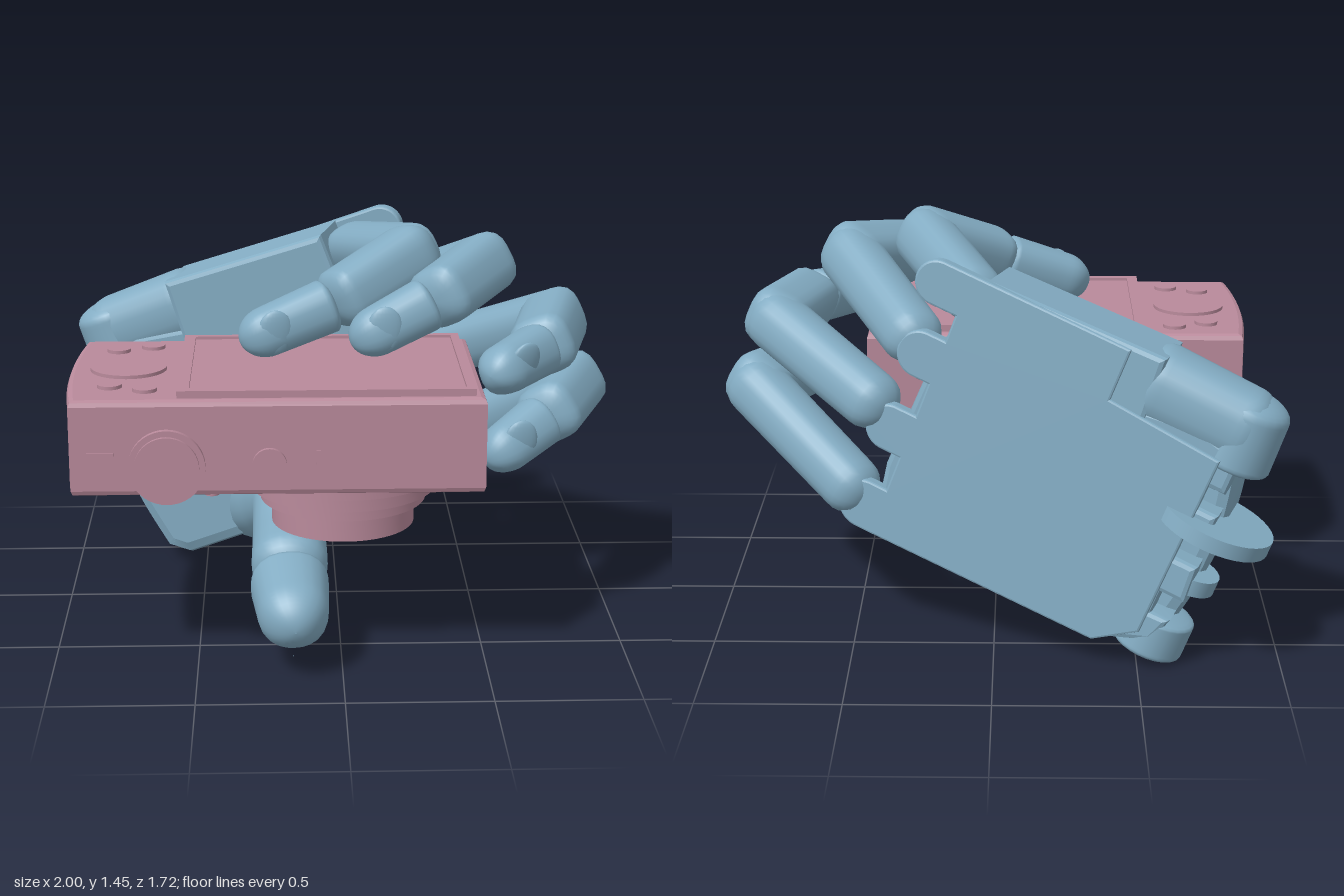
import * as THREE from 'three';
import { RoundedBoxGeometry } from 'three/addons/geometries/RoundedBoxGeometry.js';
import { toCreasedNormals } from 'three/addons/utils/BufferGeometryUtils.js';

const V = (x, y, z) => new THREE.Vector3(x, y, z);
const points2 = list => list.map(p => new THREE.Vector2(...p));
const blue = new THREE.MeshStandardMaterial({ color: 0x84adc4, side: THREE.DoubleSide });
const pink = new THREE.MeshStandardMaterial({ color: 0xb98a9b });

function add(parent, name, geometry, material, x = 0, y = 0, z = 0) {
  const m = new THREE.Mesh(geometry, material);
  m.name = name;
  m.position.set(x, y, z);
  parent.add(m);
  return m;
}

// Superellipse section swept along a curve; the ends are rounded over lengths e0 and e1
function loft(curve, radii, side, e0, e1, power = 2.6, rings = 28, n = 24) {
  const pos = [], idx = [], len = curve.getLength();
  for (let i = 0; i <= rings; i++) {
    const t = (1 - Math.cos(Math.PI * i / rings)) / 2;
    const p = curve.getPointAt(t), T = curve.getTangentAt(t);
    const s = side.clone().addScaledVector(T, -side.dot(T)).normalize();
    const up = T.clone().cross(s);
    const f = t * (radii.length - 1), k = Math.min(Math.floor(f), radii.length - 2);
    let r = THREE.MathUtils.lerp(radii[k], radii[k + 1], f - k);
    for (const [dist, e] of [[t * len, e0], [(1 - t) * len, e1]])
      if (dist < e) r *= Math.sqrt(Math.max(1e-4, 1 - (1 - dist / e) ** 2));
    for (let j = 0; j < n; j++) {
      const a = j / n * Math.PI * 2, c = Math.cos(a), q = Math.sin(a);
      const g = r / (Math.abs(c) ** power + Math.abs(q) ** power) ** (1 / power);
      const v = p.clone().addScaledVector(s, c * g).addScaledVector(up, q * g);
      pos.push(v.x, v.y, v.z);
      if (i < rings) {
        const A = i * n + j, B = i * n + (j + 1) % n;
        idx.push(A, B, A + n, B, B + n, A + n);
      }
    }
  }
  const geo = new THREE.BufferGeometry();
  geo.setAttribute('position', new THREE.Float32BufferAttribute(pos, 3));
  geo.setIndex(idx);
  geo.computeVertexNormals();
  return geo;
}

// Straight phalanx from a to b, pushed out by x0 and x1 past its joints
function phalanx(a, b, ra, rb, side, x0, x1, e0, e1, power) {
  const d = b.clone().sub(a).normalize();
  const line = new THREE.LineCurve3(a.clone().addScaledVector(d, -x0), b.clone().addScaledVector(d, x1));
  return loft(line, [ra, rb], side, e0, e1, power);
}

// Thin nail lying on the outer face of a fingertip
function nail(parent, tip, dir, side, lift) {
  const up = dir.clone().cross(side).normalize();
  const m = add(parent, 'nail', new THREE.SphereGeometry(1, 20, 12), blue);
  m.quaternion.setFromRotationMatrix(new THREE.Matrix4().makeBasis(side, dir, up));
  m.scale.set(0.062, 0.08, 0.02);
  m.position.copy(tip).addScaledVector(dir, -0.045).addScaledVector(up, lift);
}

function finger(name, knuckle, pip, dip, tip) {
  const g = new THREE.Group();
  g.name = name;
  const side = pip.clone().sub(knuckle).cross(dip.clone().sub(pip)).normalize();
  add(g, 'proximalPhalanx', phalanx(knuckle, pip, 0.1, 0.108, side, 0.08, 0.09, 0.1, 0.1), blue);
  add(g, 'middlePhalanx', phalanx(pip, dip, 0.112, 0.106, side, 0.09, 0.04, 0.1, 0.06, 3.2), blue);
  add(g, 'distalPhalanx', phalanx(dip, tip, 0.095, 0.083, side, -0.02, 0.07, 0.03, 0.1), blue);
  nail(g, tip, tip.clone().sub(dip).normalize(), side, 0.069);
  return g;
}

function extrude(shape, depth, bevel) {
  return toCreasedNormals(new THREE.ExtrudeGeometry(shape, {
    depth: depth - 2 * bevel, bevelThickness: bevel, bevelSize: bevel, bevelOffset: -bevel, bevelSegments: 2, curveSegments: 16,
  }).translate(0, 0, bevel), 0.35);
}
const polygon = list => new THREE.Shape(points2(list));

function createPalm() {
  // Local axes: x toward the fingers, y across the knuckles, z out of the palm
  const palm = new THREE.Group();
  palm.name = 'palm';
  const d = V(0.894, 0.36, 0.27).normalize();
  const w = V(-0.36, 0.93, -0.06);
  w.addScaledVector(d, -w.dot(d)).normalize();
  palm.quaternion.setFromRotationMatrix(new THREE.Matrix4().makeBasis(d, w, d.clone().cross(w)));

  // Palm body with hinge notches along the wrist
  add(palm, 'palmBody', extrude(polygon([
    [-0.45, 0.26], [0.42, 0.25], [0.46, 0.5], [0.44, 1.0], [-0.5, 1.12], [-0.66, 1.08],
    [-0.66, 0.94], [-0.58, 0.94], [-0.58, 0.86], [-0.67, 0.86], [-0.67, 0.74], [-0.58, 0.74],
    [-0.58, 0.66], [-0.68, 0.66], [-0.69, 0.52], [-0.6, 0.52], [-0.6, 0.44], [-0.67, 0.44], [-0.64, 0.34],
  ]), 0.26, 0.02), blue, 0, 0, -0.55);
  add(palm, 'sideBeam', extrude(polygon([[-0.32, 0.98], [0.36, 0.98], [0.36, 1.27], [-0.3, 1.29]]), 0.28, 0.02), blue, 0, 0, -0.56);

  // Back plate with one rounded lobe behind each knuckle
  const lobes = [[0.33, 0.09, 0.57], [0.635, 0.085, 0.58], [0.93, 0.085, 0.57], [1.19, 0.08, 0.6]];
  const plate = polygon([[-0.59, 0.36], [-0.45, 0.255], [0.42, 0.24]]);
  plate.currentPoint.set(0.42, 0.24);
  for (const [v, r, u] of lobes) {
    plate.lineTo(0.42, v - r);
    plate.absarc(u - r, v, r, -Math.PI / 2, Math.PI / 2, false);
    plate.lineTo(0.42, v + r);
  }
  plate.lineTo(-0.18, 1.27);
  plate.lineTo(-0.18, 1.08);
  plate.lineTo(-0.6, 1.05);
  add(palm, 'backPlate', extrude(plate, 0.05, 0.008), blue, 0, 0, -0.568);

  // Heel of the thumb: rounded block in front of the wrist
  const heel = new THREE.Shape();
  heel.moveTo(-0.66, 0.31);
  heel.lineTo(-0.58, 0.255);
  heel.lineTo(-0.2, 0.27);
  heel.splineThru(points2([[-0.1, 0.42], [-0.12, 0.62], [-0.25, 0.8], [-0.4, 1.0]]));
  heel.lineTo(-0.66, 1.02);
  heel.splineThru(points2([[-0.7, 0.8], [-0.7, 0.55], [-0.66, 0.31]]));
  add(palm, 'thumbHeel', extrude(heel, 0.3, 0.05), blue, 0, 0, -0.45);

  // Wrist hinge: centre disc, rounded upper lug with its arm, lower lugs
  const alongWrist = (u, v0, v1) => new THREE.LineCurve3(V(u, v0, -0.42), V(u, v1, -0.42));
  add(palm, 'wristDisc', new THREE.CylinderGeometry(0.205, 0.205, 0.055, 40), blue, -0.665, 0.8, -0.445);
  add(palm, 'upperLug', loft(alongWrist(-0.62, 1.0, 1.28), [0.14, 0.13], V(1, 0, 0), 0.03, 0.06, 2), blue);
  add(palm, 'lugArm', loft(new THREE.LineCurve3(V(-0.72, 1.155, -0.425), V(-0.2, 1.165, -0.425)), [0.13, 0.14], V(0, 1, 0), 0.1, 0.1, 2.8), blue);
  add(palm, 'lowerLug', loft(alongWrist(-0.62, 0.25, 0.42), [0.13, 0.13], V(1, 0, 0), 0.03, 0.02, 2), blue);
  add(palm, 'middleLug', new THREE.CylinderGeometry(0.11, 0.11, 0.06, 32), blue, -0.65, 0.58, -0.43);
  return palm;
}

function createThumb() {
  const g = new THREE.Group();
  g.name = 'thumb';
  const path = new THREE.CatmullRomCurve3([
    V(-0.29, 0.22, -0.5), V(-0.245, 0.29, -0.24), V(-0.195, 0.37, 0.03), V(-0.18, 0.315, 0.3), V(-0.18, 0.275, 0.56),
  ]);
  add(g, 'thumbBase', loft(path, [0.17, 0.16, 0.135, 0.12, 0.128, 0.135, 0.135], V(1, 0, 0), 0.1, 0.1, 2.3, 40), blue);
  const a = V(-0.18, 0.25, 0.56), b = V(-0.165, 0.205, 0.81);
  add(g, 'thumbTip', phalanx(a, b, 0.14, 0.112, V(1, 0, 0), 0.03, 0.05, 0.03, 0.13, 2.3), blue);
  nail(g, b, b.clone().sub(a).normalize(), V(-1, 0, 0), 0.098);
  return g;
}

function createCamera() {
  const g = new THREE.Group();
  g.name = 'compactCamera';
  // Body with a bowed grip end
  const s = new THREE.Shape();
  s.moveTo(-0.905, 0.02);
  s.lineTo(0.475, 0.02);
  s.lineTo(0.475, 0.81);
  s.lineTo(-0.905, 0.81);
  s.quadraticCurveTo(-0.96, 0.415, -0.905, 0.02);
  add(g, 'cameraBody', extrude(s, 0.33, 0.02).rotateX(Math.PI / 2), pink, 0, 1.0, 0);

  // Raised screen with a rim
  const frame = (x0, x1, z0, z1) => [[x0, z0], [x1, z0], [x1, z1], [x0, z1]];
  add(g, 'screenPanel', extrude(polygon(frame(-0.55, 0.44, 0.05, 0.78)), 0.05, 0.01).rotateX(Math.PI / 2), pink, 0, 1.015, 0);
  const rim = polygon(frame(-0.55, 0.44, 0.05, 0.78));
  rim.holes.push(new THREE.Path(points2(frame(-0.51, 0.41, 0.075, 0.75))));
  add(g, 'screenRim', new THREE.ExtrudeGeometry(rim, { depth: 0.03, bevelEnabled: false }).rotateX(Math.PI / 2), pink, 0, 1.025, 0);

  // Buttons on the screen side
  for (const [x, z, r] of [[-0.73, 0.41, 0.132], [-0.78, 0.175, 0.042], [-0.66, 0.13, 0.042], [-0.78, 0.635, 0.042], [-0.66, 0.68, 0.042]])
    add(g, 'button', new THREE.CylinderGeometry(r, r, 0.03, 36), pink, x, 0.997, z);

  // Shutter, power button and slots on the narrow face
  const disc = (name, x, y, r, z) =>
    add(g, name, new THREE.CylinderGeometry(r, r, 0.04, 40).rotateX(Math.PI / 2), pink, x, y, z - 0.02);
  disc('shutterRing', -0.585, 0.775, 0.128, 0.83);
  disc('shutterButton', -0.585, 0.775, 0.108, 0.843);
  disc('powerButton', -0.245, 0.78, 0.057, 0.825);
  add(g, 'sliderSwitch', new THREE.BoxGeometry(0.09, 0.035, 0.02), pink, -0.805, 0.805, 0.805);
  add(g, 'indicator', new THREE.BoxGeometry(0.015, 0.05, 0.02), pink, -0.082, 0.803, 0.805);

  // Stepped lens barrel pointing down
  const profile = points2([[0, 0.48], [0.1, 0.48], [0.12, 0.452], [0.25, 0.452], [0.25, 0.54], [0.29, 0.54], [0.29, 0.585],
    [0.325, 0.585], [0.325, 0.64], [0.365, 0.64], [0.365, 0.69]]);
  add(g, 'lensBarrel', toCreasedNormals(new THREE.LatheGeometry(profile, 56), 0.5), pink, 0.01, 0, 0.42);
  add(g, 'lensShutter', new RoundedBoxGeometry(0.12, 0.03, 0.08, 2, 0.01), pink, 0.01, 0.475, 0.42);
  add(g, 'flashWindow', new RoundedBoxGeometry(0.28, 0.03, 0.1, 2, 0.012), pink, 0.28, 0.667, 0.7);
  add(g, 'foot', new THREE.CylinderGeometry(0.025, 0.025, 0.04, 20), pink, -0.44, 0.667, 0.72);
  return g;
}

export function createModel() {
  const model = new THREE.Group();
  model.name = 'handHoldingCamera';
  const hand = new THREE.Group();
  hand.name = 'hand';
  hand.add(createPalm(), createThumb(),
    finger('upperFinger', V(0.07, 1.25, -0.36), V(0.26, 1.335, 0.13), V(0.0, 1.215, 0.32), V(-0.28, 1.115, 0.4)),
    finger('secondFinger', V(0.28, 1.1, -0.37), V(0.53, 1.285, 0.06), V(0.34, 1.23, 0.36), V(0.1, 1.12, 0.43)),
    finger('thirdFinger', V(0.42, 0.86, -0.37), V(0.8, 1.06, -0.02), V(0.71, 1.05, 0.35), V(0.54, 1.03, 0.585)),
    finger('lowerFinger', V(0.5, 0.54, -0.36), V(0.88, 0.815, -0.03), V(0.74, 0.79, 0.31), V(0.56, 0.705, 0.46)));
  model.add(hand, createCamera());
  return model;
}
